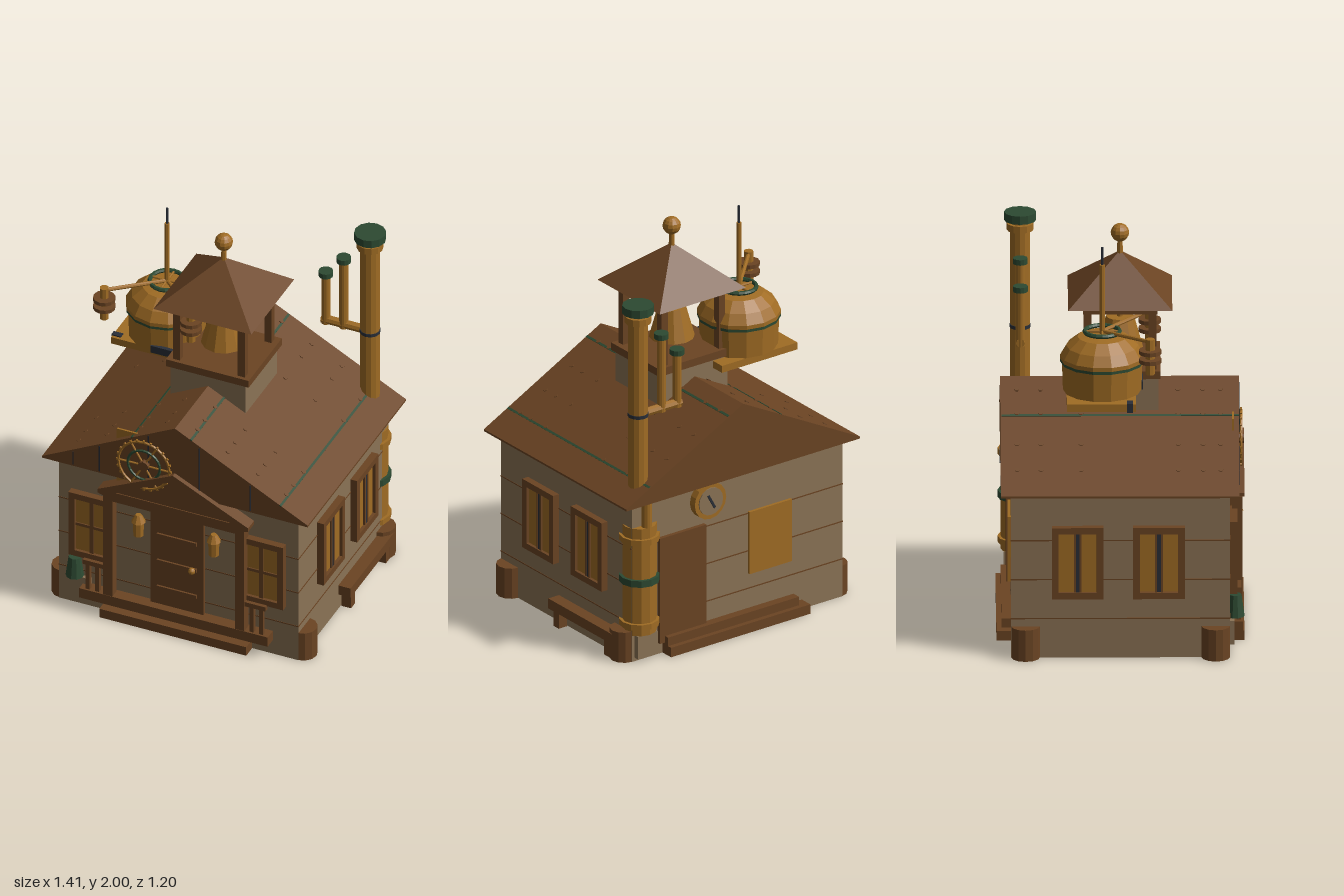
import * as THREE from 'three';

const mat = (name, color) => {
  const m = new THREE.MeshStandardMaterial({ color, flatShading: true });
  m.name = name;
  return m;
};

export function createModel() {
  const root = new THREE.Group();
  root.name = 'cottage';
  const wall = mat('plaster', 0x8b7355), wood = mat('wood', 0x6b4423), bronze = mat('bronze', 0xa06c24);
  const green = mat('patina', 0x2d4a32), iron = mat('iron', 0x2a2f38);

  const add = (name, geo, m, x = 0, y = 0, z = 0) => {
    const mesh = new THREE.Mesh(geo, m);
    mesh.name = name;
    mesh.position.set(x, y, z);
    root.add(mesh);
    return mesh;
  };
  // box from its min and max on each axis
  const box = (name, m, x0, x1, y0, y1, z0, z1) =>
    add(name, new THREE.BoxGeometry(x1 - x0, y1 - y0, z1 - z0), m, (x0 + x1) / 2, (y0 + y1) / 2, (z0 + z1) / 2);
  // upright cylinder between two heights
  const cyl = (name, m, x, z, y0, y1, r0, r1 = r0, n = 12) =>
    add(name, new THREE.CylinderGeometry(r1, r0, y1 - y0, n), m, x, (y0 + y1) / 2, z);
  const rod = (name, m, a, b, r) => {
    const A = new THREE.Vector3(...a), B = new THREE.Vector3(...b), d = B.clone().sub(A);
    const mesh = add(name, new THREE.CylinderGeometry(r, r, d.length(), 8), m);
    mesh.position.copy(A).add(B).multiplyScalar(0.5);
    mesh.quaternion.setFromUnitVectors(new THREE.Vector3(0, 1, 0), d.normalize());
    return mesh;
  };
  const prism = (name, m, pts, z0, z1) => {
    const s = new THREE.Shape(pts.map(p => new THREE.Vector2(...p)));
    return add(name, new THREE.ExtrudeGeometry(s, { depth: z1 - z0, bevelEnabled: false }), m, 0, 0, z0);
  };

  // walls with plank joints and corner posts
  box('walls', wall, -0.635, 0.635, 0, 0.85, -0.53, 0.53);
  for (const y of [0.2, 0.4, 0.6]) box('plankJoint', wood, -0.637, 0.637, y - 0.003, y + 0.003, -0.532, 0.532);
  for (const x of [-0.63, 0.63]) for (const z of [-0.46, 0.46]) cyl('cornerPost', wood, x, z, 0, 0.16, 0.07);

  // main roof with rivets and seams
  const roofY = x => 0.85 + 0.37 * (1 - Math.abs(x) / 0.7);
  const slope = Math.atan2(0.37, 0.7);
  prism('roof', wood, [[-0.705, 0.84], [0.705, 0.84], [0.705, 0.85], [0, 1.22], [-0.705, 0.85]], -0.58, 0.575);
  for (const x of [-0.55, -0.4, -0.22, -0.08, 0.08, 0.24, 0.4, 0.55])
    for (const z of [-0.5, -0.385, -0.19, 0.28, 0.4, 0.485])
      add('roofRivet', new THREE.CylinderGeometry(0.012, 0.012, 0.01, 6), wood, x, roofY(x), z).rotation.z = -Math.sign(x) * slope;
  for (const x of [-0.23, 0.085, 0.56])
    add('roofSeam', new THREE.BoxGeometry(0.012, 0.006, 1.15), green, x, roofY(x), 0).rotation.z = -Math.sign(x) * slope;
  for (const x of [-0.54, -0.4, -0.14, 0.13, 0.4])
    box('gableSeam', iron, x - 0.003, x + 0.003, 0.85, roofY(x) - 0.01, 0.57, 0.578);

  // porch: step, deck, posts and pediment
  box('frontStep', wood, -0.39, 0.39, 0, 0.05, 0.5, 0.6);
  box('porchDeck', wood, -0.5, 0.5, 0.08, 0.135, 0.5, 0.592);
  box('porchBeam', wood, -0.37, 0.37, 0.7, 0.755, 0.53, 0.59);
  prism('pediment', wood, [[-0.37, 0.75], [0.37, 0.75], [0, 0.93]], 0.53, 0.585);
  prism('porchRoof', wood, [[-0.4, 0.74], [-0.37, 0.73], [0, 0.92], [0.37, 0.73], [0.4, 0.74], [0.4, 0.76], [0, 0.955], [-0.4, 0.76]], 0.53, 0.6);
  for (const s of [-1, 1]) {
    box('porchPost', wood, s * 0.35 - 0.025, s * 0.35 + 0.025, 0.12, 0.73, 0.54, 0.59);
    box('handrail', wood, s * 0.42 - 0.065, s * 0.42 + 0.065, 0.28, 0.305, 0.56, 0.585);
    for (const x of [0.41, 0.46]) box('baluster', wood, s * x - 0.011, s * x + 0.011, 0.13, 0.28, 0.562, 0.582);
    // wall lantern
    cyl('lantern', bronze, s * 0.2, 0.56, 0.52, 0.6, 0.026, 0.03, 8);
    cyl('lanternCap', bronze, s * 0.2, 0.56, 0.6, 0.64, 0.036, 0.015, 8);
    box('lanternBracket', wood, s * 0.2 - 0.01, s * 0.2 + 0.01, 0.6, 0.62, 0.53, 0.56);
  }

  // front door
  box('frontDoor', wood, -0.14, 0.14, 0.135, 0.69, 0.53, 0.55);
  for (const y of [0.235, 0.39, 0.545]) box('doorBar', wood, -0.105, 0.105, y - 0.011, y + 0.011, 0.55, 0.56);
  add('doorKnob', new THREE.SphereGeometry(0.018, 10, 8), bronze, 0.085, 0.39, 0.565);

  // framed window facing +z in its own space
  const windowUnit = (x, z, turn, w, h, y, cross) => {
    const g = new THREE.Group();
    g.name = 'window';
    const part = (name, m, px, py, sx, sy, sz) => {
      const p = new THREE.Mesh(new THREE.BoxGeometry(sx, sy, sz), m);
      p.name = name;
      p.position.set(px, py, sz / 2);
      g.add(p);
    };
    const f = 0.033;
    part('pane', bronze, 0, 0, w - f, h - f, 0.02);
    for (const s of [-1, 1]) {
      part('frameSide', wood, s * (w - f) / 2, 0, f, h, 0.036);
      part('frameRail', wood, 0, s * (h - f) / 2, w, f, 0.036);
    }
    part('mullion', cross ? wood : iron, 0, 0, 0.02, h - 2 * f, 0.028);
    if (cross) part('crossbar', wood, 0, 0, w - 2 * f, 0.016, 0.026);
    else for (const s of [-1, 1]) part('mullionEdge', wood, s * 0.014, 0, 0.01, h - 2 * f, 0.03);
    g.position.set(x, y, z);
    g.rotation.y = turn;
    root.add(g);
  };
  for (const s of [-1, 1]) {
    windowUnit(s * 0.45, 0.53, 0, 0.24, 0.37, 0.485, true);
    for (const z of [0.185, -0.208]) windowUnit(s * 0.635, z, s * Math.PI / 2, 0.25, 0.365, 0.493, false);
  }

  // potted shrub on a stone block
  box('stoneBlock', wall, -0.59, -0.46, 0.05, 0.17, 0.53, 0.55);
  cyl('shrub', green, -0.54, 0.555, 0.18, 0.29, 0.045, 0.03, 10);

  // gear wheel on the front gable
  box('gearPlate', bronze, -0.32, -0.2, 0.8, 1.11, 0.54, 0.55);
  add('gearRim', new THREE.TorusGeometry(0.135, 0.007, 6, 32), bronze, -0.16, 0.96, 0.585);
  add('gearRing', new THREE.TorusGeometry(0.085, 0.007, 6, 24), green, -0.16, 0.96, 0.585);
  add('gearHub', new THREE.CylinderGeometry(0.028, 0.028, 0.03, 10), wood, -0.16, 0.96, 0.583).rotation.x = Math.PI / 2;
  for (let i = 0; i < 24; i++) {
    const a = i * Math.PI / 12;
    const p = [-0.16 + Math.cos(a) * 0.14, 0.96 + Math.sin(a) * 0.14, 0.585];
    add('gearTooth', new THREE.BoxGeometry(0.014, 0.01, 0.01), bronze, ...p).rotation.z = a;
    if (i % 4 === 0) rod('gearSpoke', bronze, [-0.16, 0.96, 0.583], p, 0.005);
  }

  // bell tower
  box('towerBase', wall, -0.2, 0.2, 0.95, 1.28, -0.185, 0.185);
  box('towerFloor', wood, -0.22, 0.22, 1.28, 1.32, -0.195, 0.195);
  for (const x of [-0.172, 0.172]) for (const z of [-0.157, 0.157])
    box('towerPost', wood, x - 0.019, x + 0.019, 1.32, 1.61, z - 0.019, z + 0.019);
  box('towerBeam', wood, -0.2, 0.2, 1.605, 1.645, -0.18, 0.18);
  const spire = add('towerRoof', new THREE.ConeGeometry(0.26 * Math.SQRT2, 0.22, 4, 1, false, Math.PI / 4), wood, 0, 1.755, 0);
  spire.scale.z = 0.97;
  cyl('finialStem', bronze, 0, 0, 1.85, 1.93, 0.015, 0.012, 8);
  add('finialBall', new THREE.SphereGeometry(0.045, 12, 8), bronze, 0, 1.957, 0);
  cyl('bell', bronze, 0, 0, 1.37, 1.53, 0.112, 0.068);
  cyl('bellHanger', bronze, 0, 0, 1.53, 1.61, 0.015);
  add('clapper', new THREE.SphereGeometry(0.03, 10, 8), bronze, 0, 1.37, 0);

  // domed boiler beside the tower
  const bx = -0.34, bz = -0.088;
  box('boilerPlate', bronze, -0.565, -0.11, 1.235, 1.272, -0.26, 0.075);
  box('boilerClamp', iron, -0.57, -0.52, 1.23, 1.278, 0.03, 0.06);
  box('boilerBracket', iron, -0.34, -0.2, 1.27, 1.31, 0.09, 0.11);
  const profile = [[0, 1.272], [0.19, 1.272], [0.195, 1.42], [0.204, 1.43], [0.204, 1.45], [0.175, 1.5], [0.12, 1.545], [0, 1.56]];
  add('boiler', new THREE.LatheGeometry(profile.map(p => new THREE.Vector2(...p)), 14), bronze, bx, 0, bz);
  cyl('boilerBand', green, bx, bz, 1.415, 1.43, 0.203, 0.203, 14);
  add('boilerRing', new THREE.TorusGeometry(0.085, 0.011, 6, 20), green, bx, 1.57, bz).rotation.x = Math.PI / 2;
  rod('ringSpoke', bronze, [bx - 0.085, 1.57, bz], [bx + 0.085, 1.57, bz], 0.006);
  rod('ringSpoke', bronze, [bx, 1.57, bz - 0.085], [bx, 1.57, bz + 0.085], 0.006);
  cyl('mast', bronze, bx, bz, 1.55, 1.91, 0.013, 0.013, 8);
  cyl('mastNeedle', iron, bx, bz, 1.91, 2, 0.006, 0.006, 6);
  for (const x of [-0.57, -0.11]) {
    rod('governorArm', bronze, [bx, 1.57, bz], [x, 1.595, 0.143], 0.01);
    cyl('governorRod', bronze, x, 0.143, 1.43, 1.61, 0.023, 0.023, 8);
    for (const y of [1.49, 1.535]) cyl('governorDisc', wood, x, 0.143, y, y + 0.02, 0.055);
  }

  // chimney and its branch pipes
  const cx = 0.56, cz = -0.48;
  cyl('chimney', bronze, cx, cz, 0.89, 1.83, 0.048);
  cyl('chimneyBand', iron, cx, cz, 1.275, 1.292, 0.051);
  cyl('chimneyCollar', bronze, cx, cz, 1.775, 1.81, 0.065);
  cyl('chimneyCap', green, cx, cz, 1.825, 1.867, 0.078);
  rod('branchPipe', bronze, [cx, 1.28, cz], [0.305, 1.28, cz], 0.022);
  for (const [x, top] of [[0.325, 1.54], [0.42, 1.65]]) {
    cyl('ventPipe', bronze, x, cz, 1.26, top, 0.022);
    cyl('ventCap', green, x, cz, top, top + 0.028, 0.036);
  }

  // corner tank
  cyl('tank', bronze, 0.56, -0.49, 0.14, 0.71, 0.085);
  for (const y of [0.19, 0.64]) cyl('tankRim', bronze, 0.56, -0.49, y - 0.015, y + 0.015, 0.1);
  cyl('tankBand', green, 0.56, -0.49, 0.405, 0.44, 0.1);
  cyl('tankPipe', bronze, 0.56, -0.55, 0.7, 0.85, 0.025);
  box('tankPlinth', wall, 0.5, 0.62, 0.02, 0.14, -0.56, -0.53);

  // side bench
  box('benchSeat', wood, 0.63, 0.7, 0.085, 0.138, -0.46, 0.06);
  for (const z of [0.01, -0.4]) box('benchLeg', wood, 0.64, 0.69, 0, 0.085, z - 0.022, z + 0.022);

  // back door, step, hatch and clock
  box('backStep', wood, -0.39, 0.45, 0, 0.05, -0.6, -0.5);
  box('backThreshold', wood, -0.34, 0.45, 0.05, 0.095, -0.575, -0.5);
  box('backDoor', wood, 0.2, 0.48, 0.06, 0.62, -0.55, -0.53);
  box('backHatch', bronze, -0.32, -0.065, 0.28, 0.61, -0.545, -0.53);
  const disc = (name, m, r, z0, z1) =>
    add(name, new THREE.CylinderGeometry(r, r, z1 - z0, 16), m, 0.19, 0.75, (z0 + z1) / 2).rotation.x = Math.PI / 2;
  disc('clockRim', bronze, 0.095, -0.57, -0.53);
  disc('clockFace', wall, 0.072, -0.576, -0.57);
  add('clockHand', new THREE.BoxGeometry(0.012, 0.08, 0.006), iron, 0.19, 0.75, -0.579).rotation.z = -0.5;

  return root;
}
